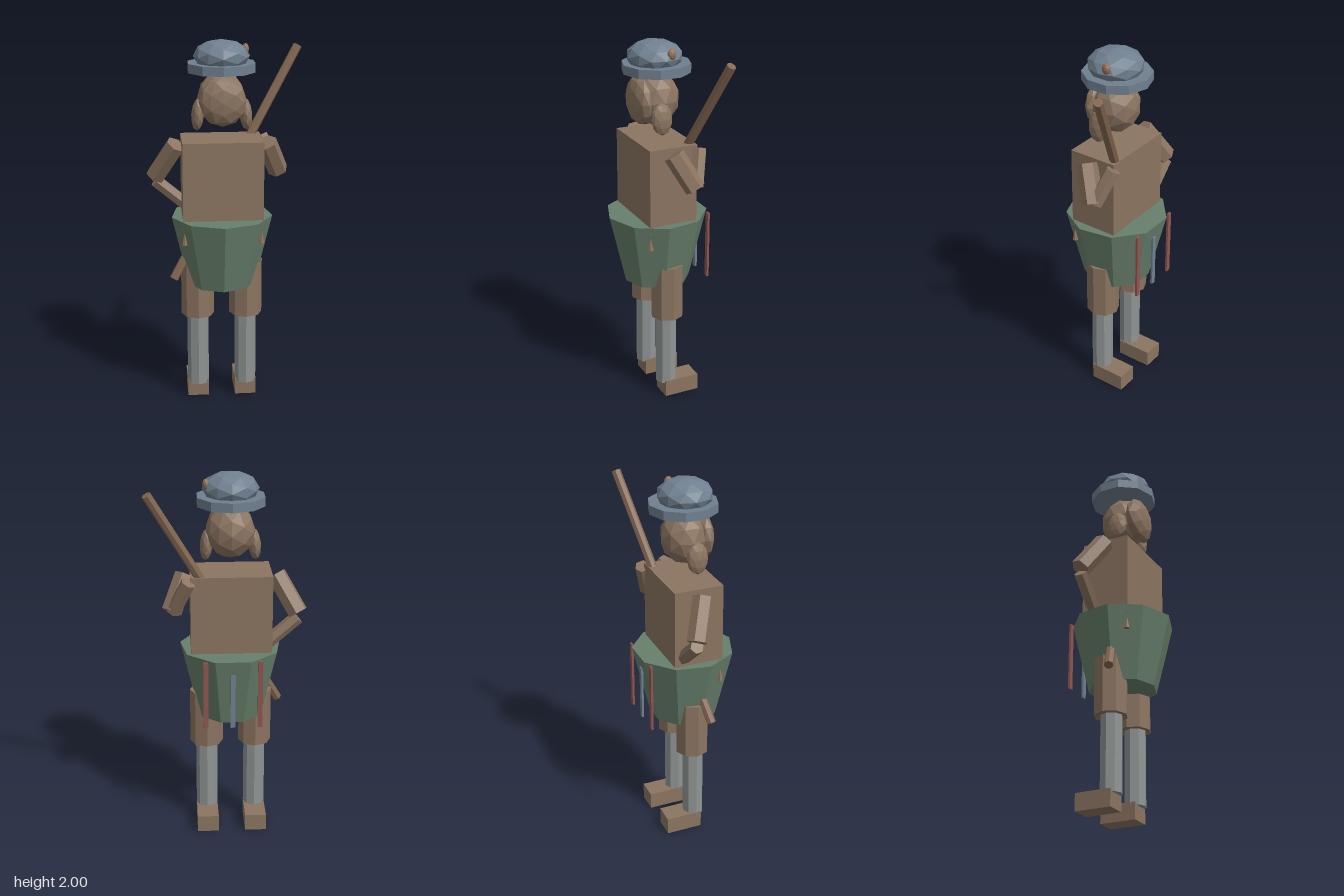
import * as THREE from 'three';

export function createModel() {
  const model = new THREE.Group();
  model.name = 'sentry';
  const CX = -0.025; // middle of the body
  const V = (x, y, z) => new THREE.Vector3(x, y, z);

  const paint = (name, color) => {
    const m = new THREE.MeshStandardMaterial({ color, flatShading: true });
    m.name = name;
    return m;
  };
  const brown = paint('brown', 0x8b7460);
  const wood = paint('wood', 0x846852);
  const tan = paint('tan', 0x937056);
  const green = paint('green', 0x68806c);
  const slate = paint('slate', 0x708090);
  const grey = paint('grey', 0x8f9594);
  const red = paint('red', 0x8f5650);

  const add = (name, geometry, material, x, y, z) => {
    const mesh = new THREE.Mesh(geometry, material);
    mesh.name = name;
    mesh.position.set(x, y, z);
    model.add(mesh);
    return mesh;
  };
  const box = (name, mat, w, h, d, x, y, z) =>
    add(name, new THREE.BoxGeometry(w, h, d), mat, x, y, z);
  const ball = (name, mat, rx, ry, rz, x, y, z) =>
    add(name, new THREE.IcosahedronGeometry(1, 1).scale(rx, ry, rz), mat, x, y, z);
  const column = (name, mat, rTop, rBottom, sides, y0, y1, x, z) =>
    add(name, new THREE.CylinderGeometry(rTop, rBottom, y1 - y0, sides), mat, x, (y0 + y1) / 2, z);
  // Straight rod between two points
  const rod = (name, mat, r, sides, a, b) => {
    const mid = a.clone().add(b).multiplyScalar(0.5);
    const dir = b.clone().sub(a);
    const mesh = add(name, new THREE.CylinderGeometry(r, r, dir.length(), sides), mat, mid.x, mid.y, mid.z);
    mesh.quaternion.setFromUnitVectors(V(0, 1, 0), dir.normalize());
    return mesh;
  };

  // Body
  box('torso', brown, 0.427, 0.46, 0.268, -0.024, 1.25, -0.009);
  column('kilt', green, 0.274, 0.182, 9, 0.675, 1.06, CX, -0.01);

  // Head and face
  ball('head', brown, 0.13, 0.145, 0.128, CX, 1.69, -0.002);
  ball('face', brown, 0.125, 0.13, 0.055, CX, 1.69, 0.088);

  // Cap
  column('capBrim', slate, 0.182, 0.182, 10, 1.832, 1.88, CX, -0.01);
  ball('capCrown', slate, 0.148, 0.086, 0.148, CX, 1.914, 0);
  ball('capBadge', tan, 0.019, 0.03, 0.024, 0.103, 1.943, -0.036);

  // Paired parts
  for (const s of [-1, 1]) {
    const side = s > 0 ? 'left' : 'right';
    const x = CX + s * 0.132;
    ball(side + 'Ear', brown, 0.034, 0.086, 0.058, CX + s * 0.126, 1.612, 0.017).rotation.z = s * 0.08;
    column(side + 'Thigh', brown, 0.09, 0.09, 8, 0.49, 0.8, x, -0.012);
    column(side + 'Stocking', grey, 0.059, 0.059, 8, 0.08, 0.5, x, -0.007);
    box(side + 'Shoe', brown, 0.117, 0.094, 0.2, x, 0.047, -0.08);
    box(side + 'Ribbon', red, 0.026, 0.375, 0.012, CX + s * 0.143, 0.868, -0.25);
    add(side + 'Tassel', new THREE.ConeGeometry(0.016, 0.07, 6), tan, CX + s * 0.205, 0.965, 0.118);
  }
  box('backRibbon', slate, 0.026, 0.3, 0.012, CX, 0.83, -0.25);

  // Arm holding the rifle
  rod('leftUpperArm', brown, 0.055, 6, V(0.215, 1.453, 0.004), V(0.288, 1.28, -0.085));
  rod('leftForearm', brown, 0.04, 6, V(0.28, 1.285, -0.095), V(0.2, 1.46, -0.15));

  // Arm resting on the hip
  rod('rightUpperArm', brown, 0.055, 6, V(-0.265, 1.45, 0), V(-0.377, 1.26, -0.08));
  rod('rightForearm', brown, 0.037, 6, V(-0.375, 1.235, -0.08), V(-0.2, 1.085, -0.09));

  // Rifle slung diagonally through the body
  rod('rifle', wood, 0.025, 7, V(0.402, 1.935, -0.212), V(-0.288, 0.715, 0.045));

  return model;
}
